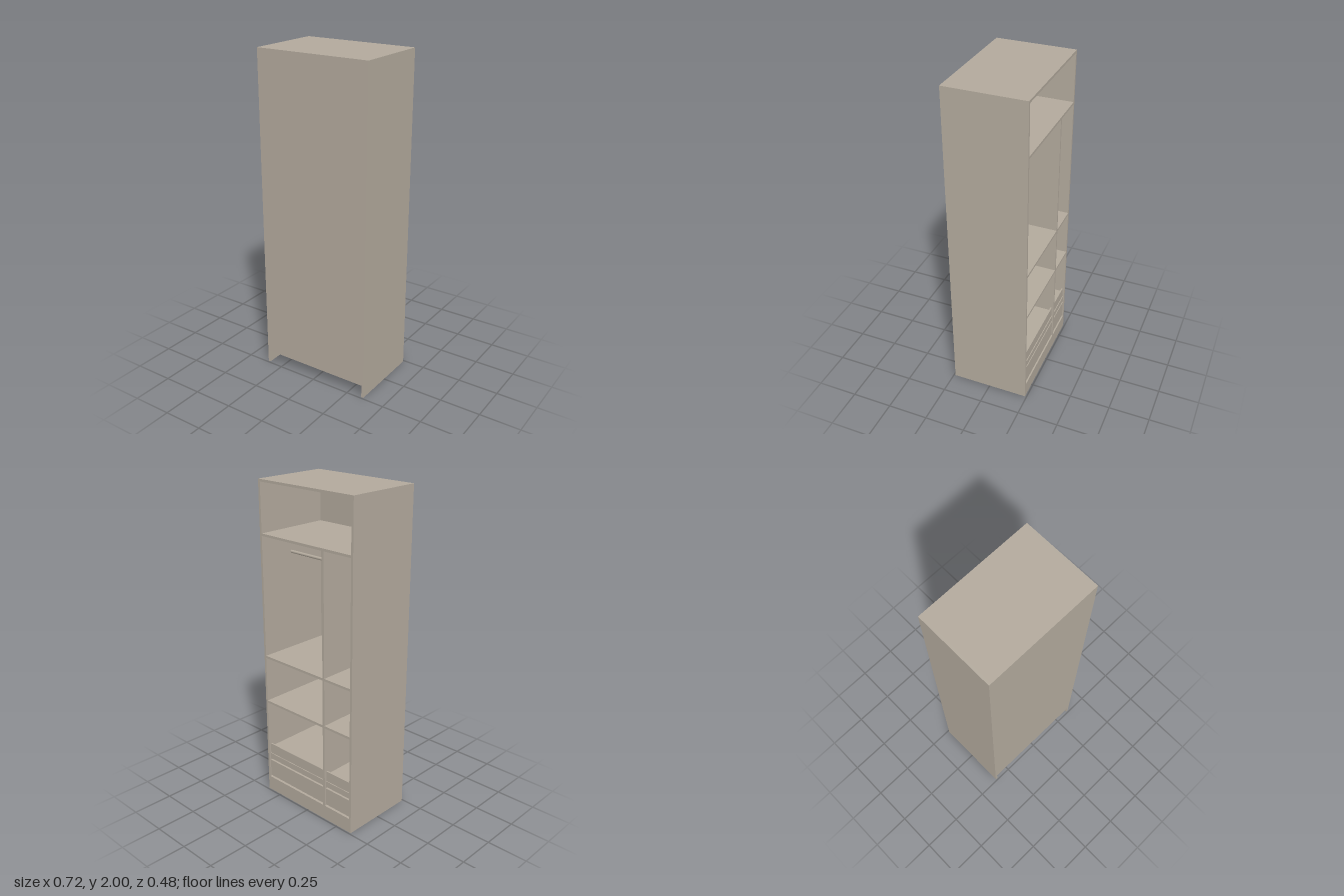
import * as THREE from 'three';

// Tall wardrobe carcass with shelves, hanging rails and drawers; open bays face -z.
const W = 0.72, H = 2, D = 0.48, T = 0.0144;
const PLINTH = 0.08, DIVIDER_X = -0.14;

export function createModel() {
  const group = new THREE.Group();
  const board = new THREE.MeshStandardMaterial({ color: 0xb2a99c });
  board.name = 'warm grey board';

  // Box given by its minimum and maximum corners
  function panel(name, x0, x1, y0, y1, z0, z1) {
    const mesh = new THREE.Mesh(new THREE.BoxGeometry(x1 - x0, y1 - y0, z1 - z0), board);
    mesh.position.set((x0 + x1) / 2, (y0 + y1) / 2, (z0 + z1) / 2);
    mesh.name = name;
    group.add(mesh);
  }

  const outer = W / 2, inner = outer - T;
  const open = -D / 2, closed = D / 2, lining = closed - 0.003;

  // Carcass
  panel('leftSide', inner, outer, 0, H, open, closed);
  panel('rightSide', -outer, -inner, 0, H, open, closed);
  panel('topPanel', -inner, inner, H - T, H, open, lining);
  panel('bottomPanel', -inner, inner, PLINTH, PLINTH + T, open, lining);
  panel('closingPanel', -inner, inner, PLINTH, H, lining, closed);
  panel('kickboard', -inner, inner, 0, PLINTH, open, open + T);

  // Full-width upper shelf and the upright below it
  const upper = 1.678;
  panel('upperShelf', -inner, inner, upper, upper + T, open, lining);
  panel('divider', DIVIDER_X - T / 2, DIVIDER_X + T / 2, PLINTH + T, upper, open, lining);

  // Both bays: shelves, rail and two drawers
  const bays = [
    ['wide', DIVIDER_X + T / 2, inner],
    ['narrow', -inner, DIVIDER_X - T / 2],
  ];
  for (const [bay, x0, x1] of bays) {
    for (const y of [0.924, 0.624]) panel(bay + 'Shelf', x0, x1, y, y + T, open, lining);

    const rail = new THREE.Mesh(new THREE.CylinderGeometry(0.009, 0.009, x1 - x0, 20), board);
    rail.rotation.z = Math.PI / 2;
    rail.position.set((x0 + x1) / 2, 1.545, -0.01);
    rail.name = bay + 'HangingRail';
    group.add(rail);

    const face = open + 0.006, gap = 0.003;
    // Drawer fronts, the upper one with a set-back top strip
    panel(bay + 'LowerDrawerFront', x0 + gap, x1 - gap, 0.104, 0.216, face, face + T);
    panel(bay + 'UpperDrawerFront', x0 + gap, x1 - gap, 0.228, 0.266, face, face + T);
    panel(bay + 'UpperDrawerStrip', x0 + gap, x1 - gap, 0.266, 0.332, face + 0.005, face + T);
    // Drawer bodies
    for (const [y0, y1] of [[0.112, 0.2], [0.236, 0.324]]) {
      panel(bay + 'DrawerBody', x0 + 0.02, x1 - 0.02, y0, y1, face + T, 0.16);
    }
  }
  return group;
}
